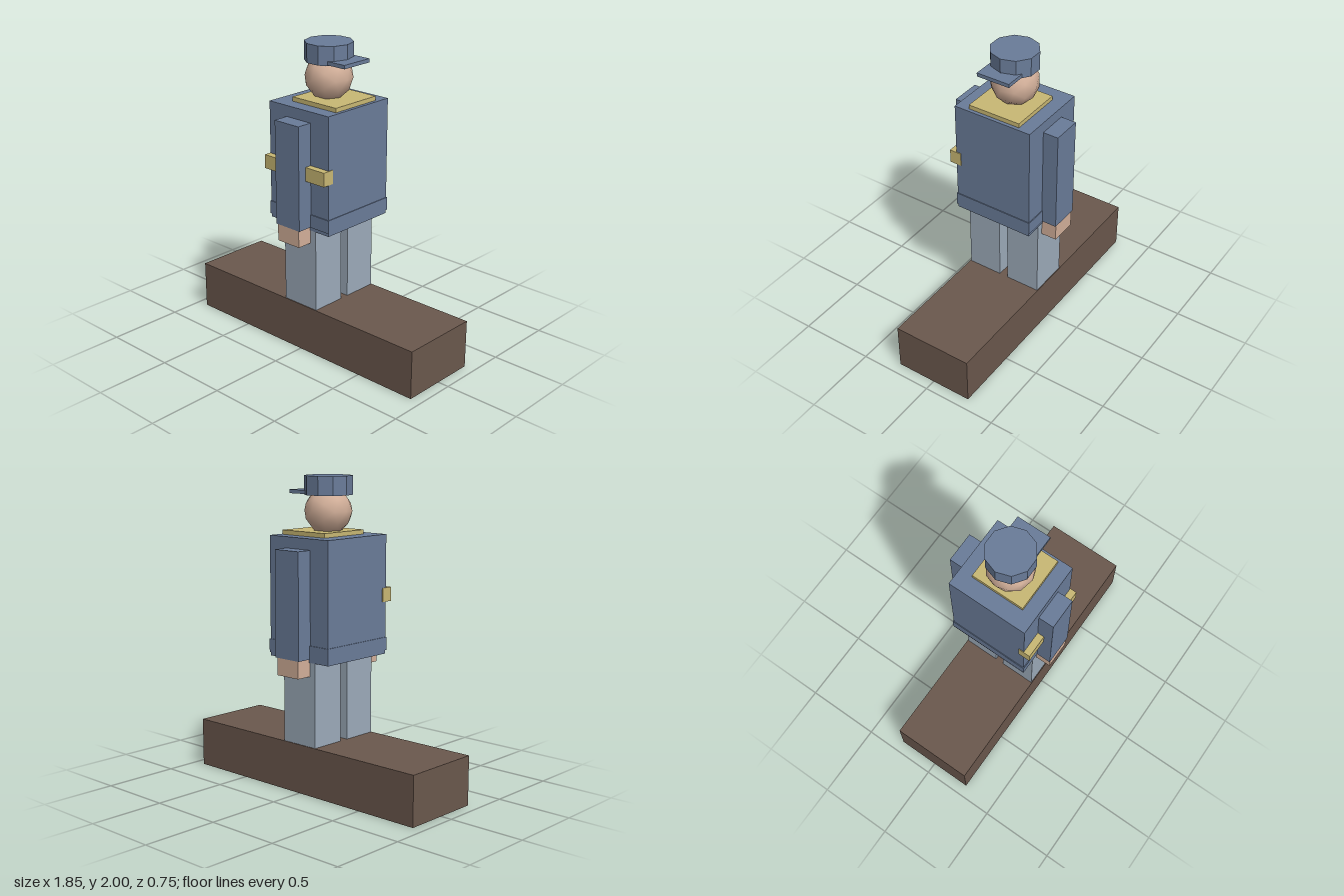
import * as THREE from 'three';

const material = (name, color) => {
  const m = new THREE.MeshStandardMaterial({ color });
  m.name = name;
  return m;
};

export function createModel() {
  const blue = material('coat blue', 0x6a7c99);
  const brown = material('plinth brown', 0x6b584d);
  const gold = material('trim gold', 0xc9b874);
  const skin = material('skin', 0xd3b09a);
  const grey = material('trouser grey', 0x9dabba);

  const group = new THREE.Group();
  group.name = 'figureOnPlinth';

  const add = (name, geometry, mat) => {
    const mesh = new THREE.Mesh(geometry, mat);
    mesh.name = name;
    group.add(mesh);
    return mesh;
  };
  // Box given by its extents along x, y and z
  const box = (name, mat, [x0, x1], [y0, y1], [z0, z1]) =>
    add(name, new THREE.BoxGeometry(x1 - x0, y1 - y0, z1 - z0), mat)
      .position.set((x0 + x1) / 2, (y0 + y1) / 2, (z0 + z1) / 2);

  box('plinth', brown, [-0.925, 0.925], [0, 0.32], [-0.27, 0.27]);

  // Coat with hem, chest band and collar
  box('coat', blue, [-0.248, 0.248], [0.862, 1.63], [-0.27, 0.27]);
  box('hem', blue, [-0.253, 0.253], [0.885, 0.97], [-0.276, 0.276]);
  box('band', gold, [-0.253, 0.253], [1.2, 1.29], [0.235, 0.315]);
  box('collar', gold, [-0.137, 0.225], [1.63, 1.658], [-0.18, 0.18]);

  // Paired limbs, mirrored across z
  for (const [side, s] of [['front', 1], ['back', -1]]) {
    const span = (a, b) => (s > 0 ? [a, b] : [-b, -a]);
    box(side + 'Leg', grey, [-0.135, 0.135], [0.32, 0.87], span(0.03, 0.265));
    box(side + 'Arm', blue, [-0.1, 0.1], [0.885, 1.56], span(0.26, 0.373));
    box(side + 'Hand', skin, [-0.09, 0.09], [0.773, 0.885], span(0.264, 0.369));
  }

  // Head and ten-sided cap with a peak facing +x
  add('head', new THREE.IcosahedronGeometry(0.153, 1), skin).position.y = 1.78;
  const capShape = new THREE.CylinderGeometry(0.153, 0.153, 0.12, 10).toNonIndexed();
  capShape.computeVertexNormals();
  const cap = add('cap', capShape, blue);
  cap.position.y = 1.94;
  cap.rotation.y = Math.PI / 2;
  box('capPeak', blue, [0.095, 0.23], [1.884, 1.908], [-0.113, 0.113]);

  return group;
}
